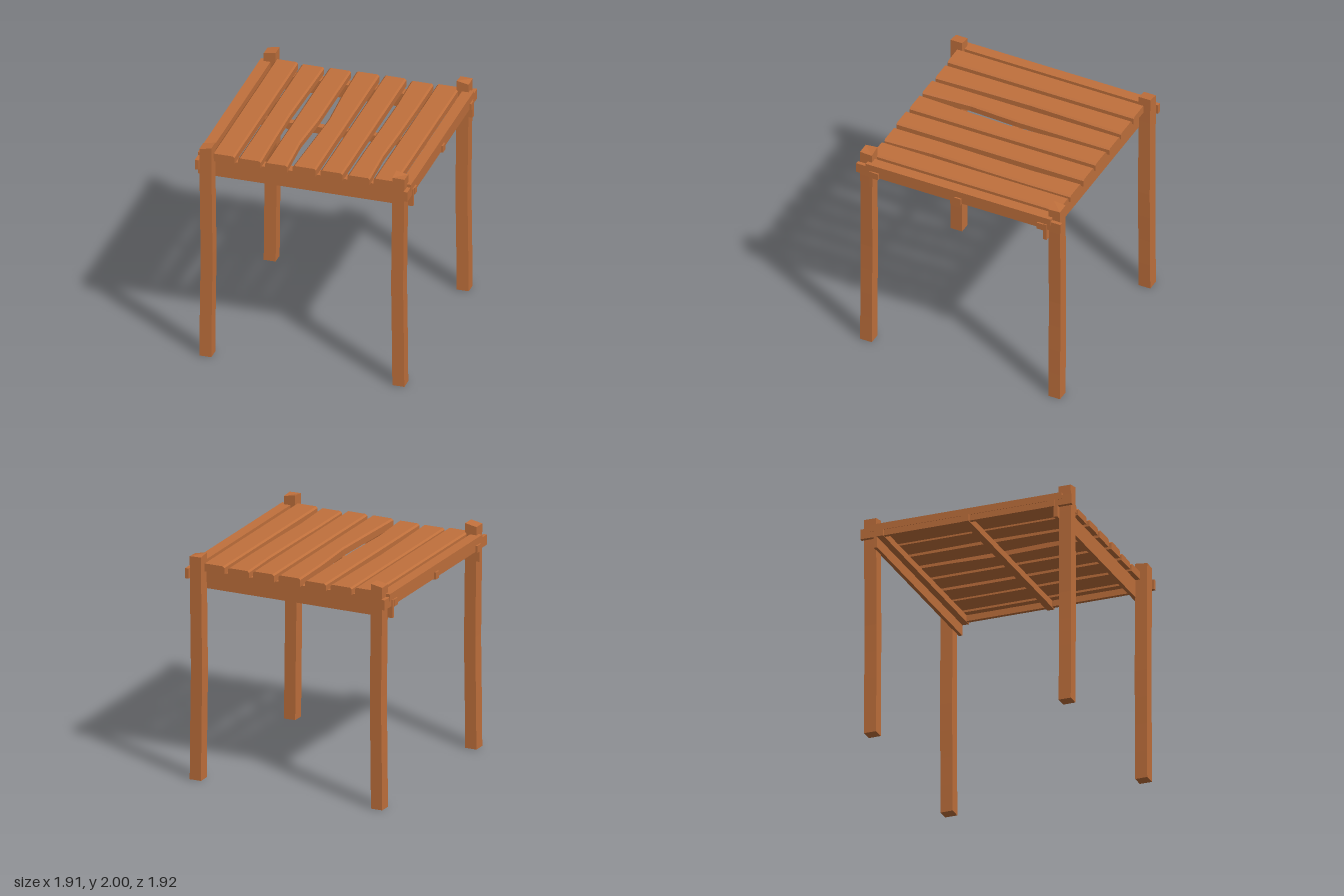
import * as THREE from 'three';

const wood = new THREE.MeshStandardMaterial({ color: 0xc0703c, flatShading: true });

// Linear interpolation through evenly spaced offsets, t in 0..1
function sample(list, t) {
  const s = Math.min(Math.max(t, 0), 1) * (list.length - 1);
  const i = Math.min(Math.floor(s), list.length - 2);
  return THREE.MathUtils.lerp(list[i], list[i + 1], s - i);
}

// Move every vertex of a geometry by a rule
function warp(geometry, rule) {
  const p = geometry.attributes.position;
  const v = new THREE.Vector3();
  for (let i = 0; i < p.count; i++) {
    rule(v.fromBufferAttribute(p, i));
    p.setXYZ(i, v.x, v.y, v.z);
  }
  geometry.computeVertexNormals();
  return geometry;
}

function part(name, geometry) {
  const mesh = new THREE.Mesh(geometry, wood);
  mesh.name = name;
  return mesh;
}

// Beam given by its lower and upper bounds
function beam(name, x0, x1, y0, y1, z0, z1) {
  const g = new THREE.BoxGeometry(x1 - x0, y1 - y0, z1 - z0);
  g.translate((x0 + x1) / 2, (y0 + y1) / 2, (z0 + z1) / 2);
  return part(name, g);
}

// Slightly bowed post with a slanted top
function post(name, sx, sz) {
  const g = new THREE.BoxGeometry(0.106, 2, 0.11, 1, 8, 1);
  g.translate(0, 1, 0);
  const bow = [0, -0.003, -0.005, -0.009, -0.011, -0.008, -0.005, -0.002, 0];
  warp(g, (v) => {
    const outer = v.x * sx > 0;
    const top = v.y > 1.99;
    v.x += sx * sample(bow, v.y / 2);
    if (top && outer) v.y -= 0.02;
    if (top && v.z * sz > 0 && sx > 0) v.y -= outer ? -0.005 : 0.012;
    v.x += sx * 0.854;
    v.z += sz * 0.885;
  });
  return part(name, g);
}

// Plank with chamfered top edges; its two long edges wander along z
function plank(name, { x0, x1, top = 1.91, left = [0, 0], right = [0, 0], len = 0.875 }) {
  const c = 0.014, bottom = 1.847;
  const shape = new THREE.Shape([
    [x0, bottom], [x1, bottom], [x1, top - c], [x1 - c, top], [x0 + c, top], [x0, top - c],
  ].map(([x, y]) => new THREE.Vector2(x, y)));
  const g = new THREE.ExtrudeGeometry(shape, { depth: len * 2, steps: 8, bevelEnabled: false });
  g.translate(0, 0, -len);
  const mid = (x0 + x1) / 2;
  warp(g, (v) => {
    v.x += sample(v.x < mid ? left : right, (v.z + len) / (2 * len));
  });
  return part(name, g);
}

export function createModel() {
  const model = new THREE.Group();
  model.name = 'woodenPergola';

  // Corner posts, side rails and the top strips resting on the joists
  for (const sx of [-1, 1]) {
    const side = sx > 0 ? 'left' : 'right';
    for (const sz of [-1, 1]) {
      model.add(post(`${side}${sz > 0 ? 'Front' : 'Back'}Post`, sx, sz));
    }
    const span = (a, b) => (sx > 0 ? [a, b] : [-b, -a]);
    model.add(beam(`${side}SideRail`, ...span(0.907, 0.94), 1.79, 1.88, -0.96, 0.96));
    model.add(beam(`${side}TopStrip`, ...span(0.847, 0.943), 1.845, 1.907, -0.87, 0.87));
  }

  // Deep cross beams just inside the posts
  model.add(beam('frontBeam', -0.95, 0.95, 1.685, 1.845, 0.803, 0.835));
  model.add(beam('backBeam', -0.95, 0.95, 1.685, 1.845, -0.835, -0.803));

  // Joists carrying the planks
  for (const z of [-0.777, 0, 0.777]) {
    model.add(beam('joist', -0.957, 0.957, 1.783, 1.845, z - 0.031, z + 0.031));
  }

  // Roof planks with worn edges
  const planks = [
    { x0: -0.815, x1: -0.618, top: 1.919 },
    { x0: -0.585, x1: -0.385, right: [0, -0.01, -0.02, -0.012, 0], len: 0.873 },
    { x0: -0.345, x1: -0.15, right: [0, 0, 0, -0.022, 0], len: 0.88 },
    { x0: -0.102, x1: 0.102, top: 1.919, left: [0, 0.01, 0.034, 0.018, 0] },
    { x0: 0.145, x1: 0.34, top: 1.919, len: 0.88 },
    { x0: 0.382, x1: 0.58, left: [0, 0.012, 0.008, 0, 0], right: [0, 0, -0.006, -0.018, 0] },
    { x0: 0.613, x1: 0.812, top: 1.917 },
  ];
  planks.forEach((p, i) => model.add(plank(`roofPlank${i + 1}`, p)));

  return model;
}
